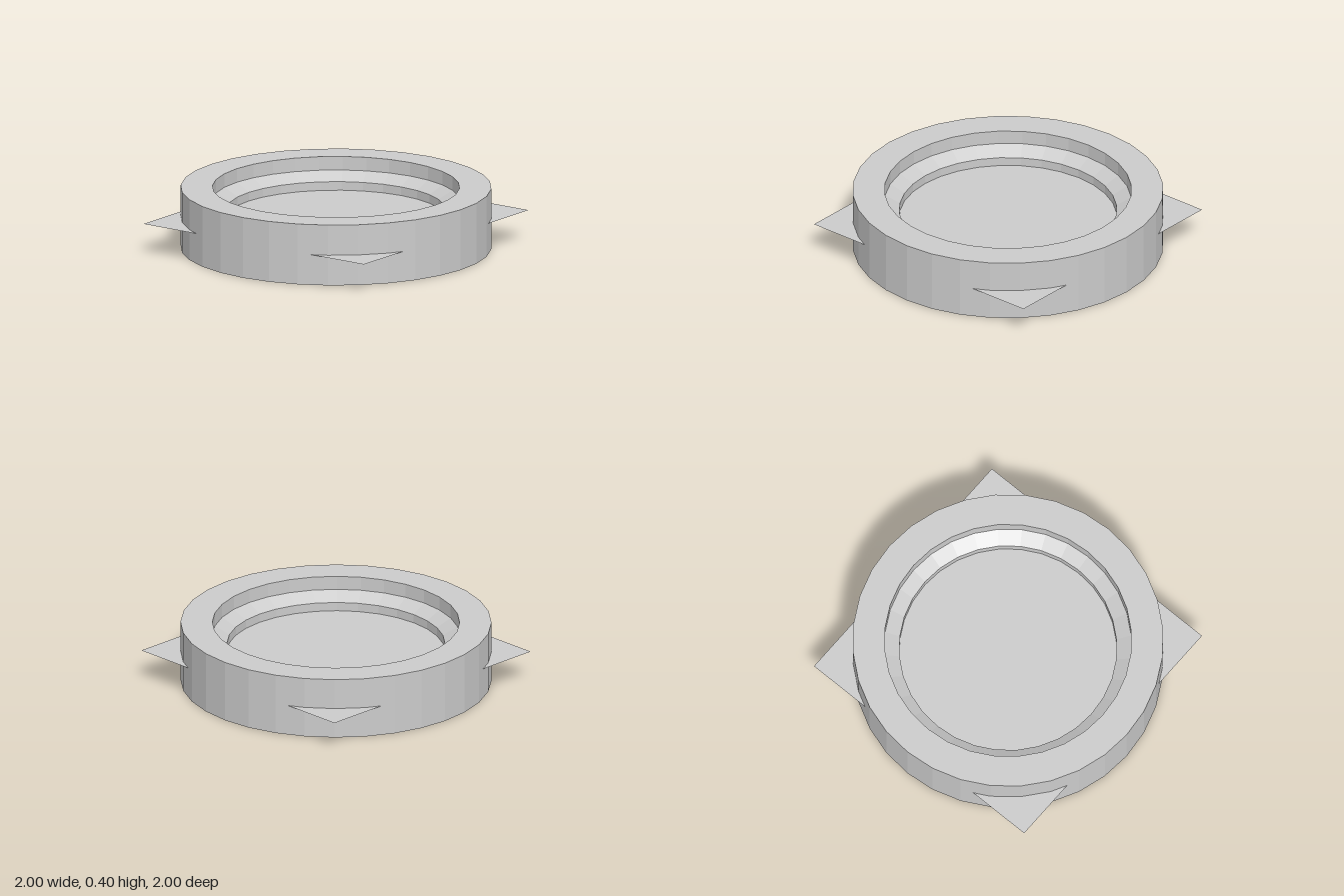
import * as THREE from 'three';

const SIDES = 32;

export function createModel() {
  const group = new THREE.Group();
  const material = new THREE.MeshStandardMaterial({ color: 0xcccccc, flatShading: true });
  const sheetMaterial = new THREE.MeshStandardMaterial({ color: 0xcccccc, side: THREE.DoubleSide });

  // Faceted ring from a closed profile of [radius, height] points, counterclockwise
  function addRing(name, profile) {
    const points = [...profile, profile[0]].map(([r, y]) => new THREE.Vector2(r, y));
    const mesh = new THREE.Mesh(new THREE.LatheGeometry(points, SIDES), material);
    mesh.name = name;
    group.add(mesh);
  }

  // Thick outer ring
  addRing('outerRing', [[1, 0], [1, 0.4], [0.795, 0.4], [0.795, 0]]);

  // Inner ledge with a sloping top
  addRing('innerLedge', [[0.7, 0.197], [0.795, 0.197], [0.795, 0.31], [0.7, 0.257]]);

  // Square sheet through the middle, its corners reaching past the ring
  const sheet = new THREE.Mesh(new THREE.PlaneGeometry(1.77, 1.77), sheetMaterial);
  sheet.name = 'squareSheet';
  sheet.rotation.x = -Math.PI / 2;
  sheet.position.y = 0.2;
  group.add(sheet);

  return group;
}
